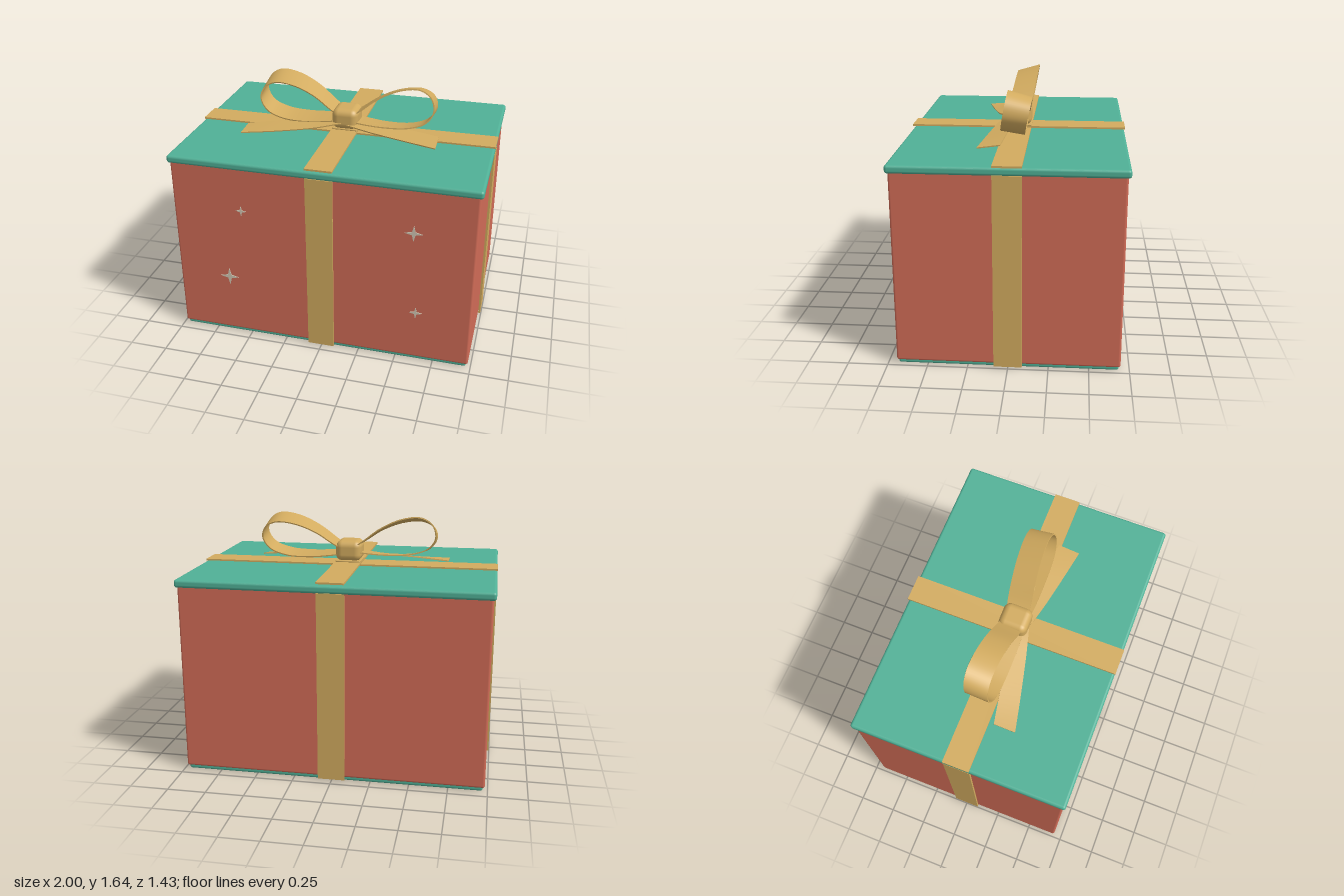
import * as THREE from 'three';
import { toCreasedNormals } from 'three/addons/utils/BufferGeometryUtils.js';
import { RoundedBoxGeometry } from 'three/addons/geometries/RoundedBoxGeometry.js';

function material(name, color) {
  const m = new THREE.MeshStandardMaterial({ color });
  m.name = name;
  return m;
}

// Flat band with a rectangular section, swept along rows of
// [x, y, z, half-width y, half-width z]
function bandGeometry(rows, steps, thickness) {
  const centre = new THREE.CatmullRomCurve3(rows.map(r => new THREE.Vector3(r[0], r[1], r[2])));
  const widths = new THREE.CatmullRomCurve3(rows.map((r, i) => new THREE.Vector3(i * 0.01, r[3], r[4])));
  const pos = [], index = [];
  for (let i = 0; i <= steps; i++) {
    const u = i / steps;
    const p = centre.getPoint(u);
    const w = widths.getPoint(u).setX(0);
    const n = centre.getTangent(u).cross(w).normalize().multiplyScalar(thickness / 2);
    for (const [a, b] of [[-1, -1], [1, -1], [1, 1], [-1, 1]]) {
      const v = p.clone().addScaledVector(w, a).addScaledVector(n, b);
      pos.push(v.x, v.y, v.z);
    }
    if (i === steps) break;
    for (let j = 0; j < 4; j++) {
      const a = i * 4 + j, b = i * 4 + (j + 1) % 4;
      index.push(a, b, b + 4, a, b + 4, a + 4);
    }
  }
  const e = steps * 4;
  index.push(0, 2, 1, 0, 3, 2, e, e + 1, e + 2, e, e + 2, e + 3);
  const g = new THREE.BufferGeometry();
  g.setAttribute('position', new THREE.Float32BufferAttribute(pos, 3));
  g.setIndex(index);
  return toCreasedNormals(g, 0.7);
}

// Four-pointed sparkle with concave sides
function sparkleGeometry(r) {
  const s = new THREE.Shape();
  s.moveTo(r, 0);
  for (let i = 1; i <= 4; i++) {
    const a = i * Math.PI / 2, m = a - Math.PI / 4;
    s.lineTo(r * 0.27 * Math.cos(m), r * 0.27 * Math.sin(m));
    s.lineTo(r * Math.cos(a), r * Math.sin(a));
  }
  return new THREE.ExtrudeGeometry(s, { depth: 0.005, bevelEnabled: false });
}

export function createModel() {
  const model = new THREE.Group();
  model.name = 'giftBox';
  const red = material('coral red', 0xd16c57);
  const teal = material('teal green', 0x50b096);
  const gold = material('ribbon gold', 0xd2ab5f);
  const cream = material('sparkle cream', 0xd3cab6);

  const add = (name, geometry, mat, x = 0, y = 0, z = 0, parent = model) => {
    const mesh = new THREE.Mesh(geometry, mat);
    mesh.name = name;
    mesh.position.set(x, y, z);
    parent.add(mesh);
    return mesh;
  };

  // Box
  add('base', new RoundedBoxGeometry(1.94, 0.05, 1.37, 3, 0.015), teal, 0, 0.025, 0);
  add('body', new RoundedBoxGeometry(1.965, 1.24, 1.39, 3, 0.015), red, 0, 0.645, 0);
  add('lid', new RoundedBoxGeometry(1.995, 0.052, 1.424, 4, 0.018), teal, 0, 1.27, 0);

  // Ribbons down the four sides and crossing on the lid
  const rw = 0.175;
  for (const s of [-1, 1]) {
    add(s > 0 ? 'frontRibbon' : 'backRibbon', new THREE.BoxGeometry(rw, 1.235, 0.012), gold, 0, 0.63, s * 0.705);
    add(s > 0 ? 'leftRibbon' : 'rightRibbon', new THREE.BoxGeometry(0.014, 1.235, rw), gold, s * 0.99, 0.63, 0);
  }
  add('lidRibbonAcross', new THREE.BoxGeometry(2, 0.012, rw), gold, 0, 1.301, 0);
  add('lidRibbonLengthwise', new THREE.BoxGeometry(rw, 0.012, 1.43), gold, 0, 1.312, 0);

  // Bow
  const bow = new THREE.Group();
  bow.name = 'bow';
  model.add(bow);
  add('knot', new RoundedBoxGeometry(0.175, 0.14, 0.19, 4, 0.045), gold, 0, 1.39, 0.005, bow);
  add('knotPlate', new RoundedBoxGeometry(0.17, 0.014, 0.18, 2, 0.006), gold, 0, 1.322, 0, bow);

  // Loop outline as [distance from centre, height, tilt of the band]
  const loop = [
    [0.03, 1.40, 0.005], [0.1, 1.445, 0.008], [0.22, 1.53, 0.014], [0.36, 1.59, 0.02],
    [0.49, 1.603, 0.022], [0.565, 1.56, 0.018], [0.587, 1.48, 0.012], [0.54, 1.405, 0.012],
    [0.43, 1.362, 0.012], [0.27, 1.352, 0.01], [0.12, 1.363, 0.006], [0.03, 1.375, 0.004],
  ];
  for (const s of [-1, 1]) {
    const side = s > 0 ? 'left' : 'right';
    const rows = loop.map(([x, y, t]) => [
      s * x, y + (s < 0 ? 0.008 : 0), 0.01 - 0.19 * (y - 1.35), s * t, x < 0.05 ? 0.07 : 0.077,
    ]);
    add(side + 'Loop', bandGeometry(rows, 64, 0.008), gold, 0, 0, 0, bow);
  }

  // Tails, widening towards their ends
  add('rightTail', bandGeometry([
    [-0.02, 1.372, 0.06, -0.004, 0.045], [-0.2, 1.348, 0.095, -0.012, 0.058],
    [-0.43, 1.326, 0.142, -0.012, 0.066], [-0.665, 1.304, 0.19, -0.004, 0.071],
  ], 24, 0.008), gold, 0, 0, 0, bow);
  add('leftTail', bandGeometry([
    [0.02, 1.362, 0.06, -0.004, 0.045], [0.2, 1.35, 0.085, -0.01, 0.058],
    [0.42, 1.335, 0.115, -0.012, 0.066], [0.63, 1.318, 0.143, -0.01, 0.072],
  ], 24, 0.008), gold, 0, 0, 0, bow);

  // Sparkles on the front face
  [[-0.52, 0.955, 0.037], [0.595, 0.955, 0.057], [-0.63, 0.445, 0.064], [0.627, 0.375, 0.043]]
    .forEach(([x, y, r], i) => add('sparkle' + (i + 1), sparkleGeometry(r), cream, x, y, 0.694));

  return model;
}
